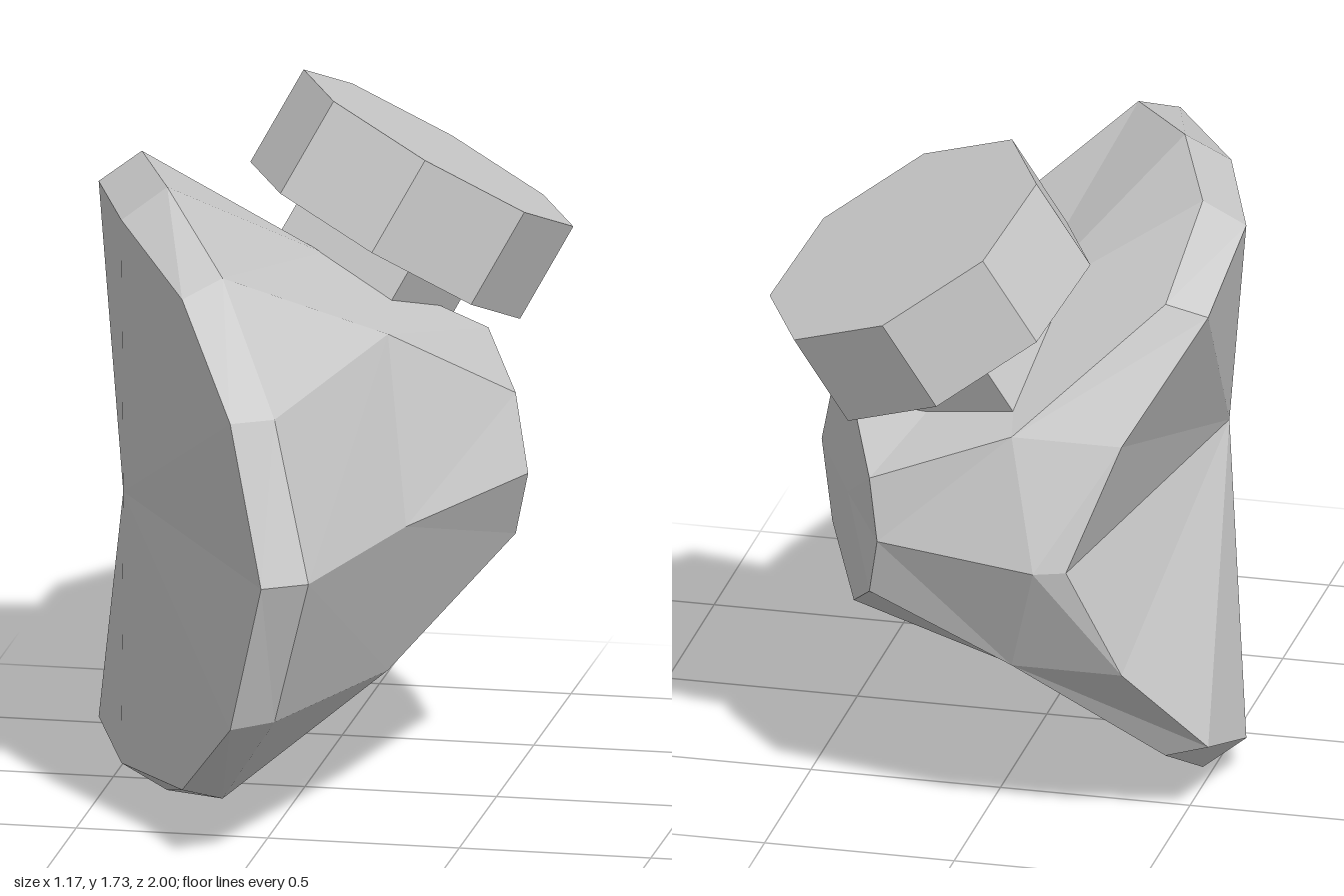
import * as THREE from 'three';

const MID = 0.803; // height of the body's mirror plane

const material = () => new THREE.MeshStandardMaterial({ color: 0xcccccc, flatShading: true });

// Faceted body: upper halves of four loops, front to back, joined and mirrored in height
function makeBody() {
  const rim = [
    [0.08, MID, 1], [-0.02, 1.21, 0.9], [-0.2, 1.455, 0.62], [-0.45, 1.525, 0.15],
    [-0.585, 1.515, -0.24], [-0.57, 1.4, -0.59], [-0.4, 1.12, -0.83], [-0.28, MID, -0.94],
  ];
  const bevel = [
    [0.19, MID, 0.93], [0.08, 1.205, 0.82], [-0.11, 1.495, 0.54], [-0.34, 1.605, 0.1],
    [-0.48, 1.59, -0.28], [-0.46, 1.43, -0.6], [-0.11, 1.12, -0.83], [-0.2, MID, -0.97],
  ];
  const waist = [[0.33, MID, 0.34], [0.24, 1.25, 0.12], [-0.03, 1.31, -0.4]];
  const stub = [
    [0.54, MID, -0.22], [0.49, 0.99, -0.31], [0.36, 1.075, -0.61],
    [0.27, 0.96, -0.81], [0.24, MID, -0.85],
  ];
  const faceCentre = [-0.445, MID, 0.15];
  const stubCentre = [0.39, MID, -0.55];

  // Repeated points let loops of different counts share one strip rule
  const pick = (list, order) => order.map((i) => list[i]);
  const outer = [0, 1, 2, 2, 3, 4, 5, 6, 7];
  const rows = [
    new Array(9).fill(faceCentre),
    pick(rim, outer),
    pick(bevel, outer),
    [...pick(waist, [0, 1, 1, 2, 2, 2, 2]), bevel[6], bevel[7]],
    pick(stub, [0, 1, 1, 2, 2, 2, 2, 3, 4]),
    new Array(9).fill(stubCentre),
  ];

  const positions = [];
  const mirrored = ([x, y, z]) => [x, 2 * MID - y, z];
  const triangle = (a, b, c) => {
    if (a === b || b === c || a === c) return;
    positions.push(...a, ...b, ...c);
    positions.push(...mirrored(a), ...mirrored(c), ...mirrored(b));
  };
  for (let r = 0; r < rows.length - 1; r++) {
    const [a, b] = [rows[r], rows[r + 1]];
    for (let i = 0; i < a.length - 1; i++) {
      triangle(a[i], b[i], b[i + 1]);
      triangle(a[i], b[i + 1], a[i + 1]);
    }
  }
  const geometry = new THREE.BufferGeometry();
  geometry.setAttribute('position', new THREE.Float32BufferAttribute(positions, 3));
  geometry.computeVertexNormals();
  const mesh = new THREE.Mesh(geometry, material());
  mesh.name = 'body';
  return mesh;
}

// Tilted eight-sided cap on a short square neck; the origin is the middle of the cap's top
function makeKnob() {
  const knob = new THREE.Group();
  knob.name = 'knob';
  const addPrism = (name, radius, height, top, sides, turn) => {
    const geometry = new THREE.CylinderGeometry(radius, radius, height, sides, 1, false, turn);
    geometry.translate(0, top - height / 2, 0);
    const mesh = new THREE.Mesh(geometry, material());
    mesh.name = name;
    knob.add(mesh);
  };
  addPrism('cap', 0.4, 0.275, 0, 8, 0);
  addPrism('neck', 0.26, 0.2, -0.275, 4, Math.PI / 8);

  const across = new THREE.Vector3(0.88, -0.475, 0).normalize();
  const up = new THREE.Vector3(0.464, 0.859, -0.215).normalize();
  const side = new THREE.Vector3().crossVectors(across, up).normalize();
  knob.quaternion.setFromRotationMatrix(new THREE.Matrix4().makeBasis(across, up, side));
  knob.position.set(0.23, 1.545, -0.61);
  return knob;
}

export function createModel() {
  const model = new THREE.Group();
  model.name = 'model';
  model.add(makeBody(), makeKnob());
  return model;
}
